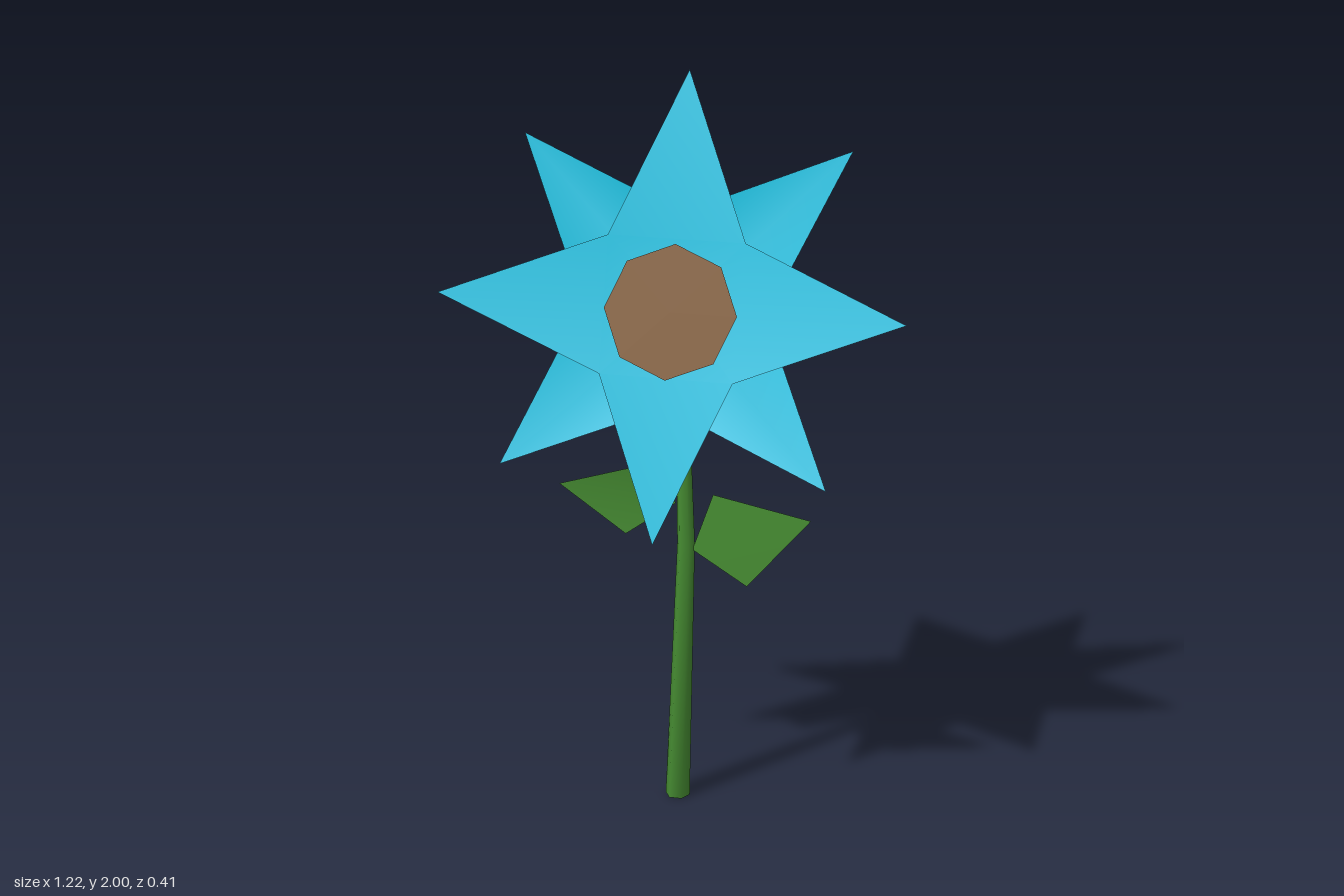
import * as THREE from 'three';

const V = (x, y, z) => new THREE.Vector3(x, y, z);
const paint = (color) => new THREE.MeshStandardMaterial({ color, side: THREE.DoubleSide });
const cyan = paint(0x0fc0e0), brown = paint(0x80592f), green = paint(0x468c32);

// Mesh from a list of points and triangle indices
function surface(name, points, index, material) {
  const geo = new THREE.BufferGeometry().setFromPoints(points);
  geo.setIndex(index);
  geo.computeVertexNormals();
  const mesh = new THREE.Mesh(geo, material);
  mesh.name = name;
  return mesh;
}

// Star: an anticlockwise rim of alternating tips and notches around a sunken centre.
// "folded" petals bend at their root line; otherwise triangles fan from the centre.
function star(name, rim, centre, folded) {
  const n = rim.length, index = [];
  for (let i = 0; i < n; i += 2) {
    const before = (i + n - 1) % n, after = i + 1;
    if (folded) index.push(before, i, after, n, before, after);
    else index.push(n, before, i, n, i, after);
  }
  return surface(name, [...rim, centre], index, cyan);
}

// Tapered stem lofted through hexagonal rings
function stem() {
  const rings = [[0, 0, -0.083, 0.034], [0.022, 0.75, -0.083, 0.024], [0.01, 1.375, -0.077, 0.013]];
  const sides = 6, points = [], index = [];
  for (const [x, y, z, r] of rings)
    for (let i = 0; i < sides; i++) {
      const a = (i / sides) * Math.PI * 2;
      points.push(V(x + r * Math.cos(a), y, z - r * Math.sin(a)));
    }
  for (let k = 0; k < rings.length - 1; k++)
    for (let i = 0; i < sides; i++) {
      const a = k * sides + i, b = k * sides + (i + 1) % sides;
      index.push(a, b, b + sides, a, b + sides, a + sides);
    }
  // End caps
  const top = (rings.length - 1) * sides;
  for (let i = 1; i < sides - 1; i++) index.push(0, i + 1, i, top, top + i, top + i + 1);
  return surface('stem', points, index, green);
}

export function createModel() {
  const flower = new THREE.Group();
  flower.name = 'flower';

  // Front petals: side tips curl forward
  flower.add(star('frontPetals', [
    V(0.61, 1.44, 0.037), V(0.18, 1.595, -0.062), V(0, 2, -0.208), V(-0.18, 1.595, -0.062),
    V(-0.61, 1.44, 0.037), V(-0.175, 1.26, 0.06), V(0, 0.86, 0.205), V(0.175, 1.26, 0.06),
  ], V(0, 1.42, -0.065), true));

  // Back petals: diagonal tips around a centre drawn back to the stem
  flower.add(star('backPetals', [
    V(0.43, 1.82, -0.177), V(0, 1.65, -0.116), V(-0.43, 1.82, -0.177), V(-0.24, 1.415, -0.03),
    V(-0.43, 1.01, 0.114), V(0, 1.18, 0.055), V(0.43, 1.01, 0.114), V(0.24, 1.415, -0.03),
  ], V(0, 1.39, -0.092), false));

  // Seed disc, tilted with the bloom
  const disc = new THREE.Mesh(new THREE.CircleGeometry(0.174, 8), brown);
  disc.name = 'seedDisc';
  disc.position.set(0, 1.421, 0.008);
  disc.rotation.x = -Math.atan(0.36);
  flower.add(disc);

  flower.add(stem());

  // Leaves: one quad each, rooted at the stem
  const quad = [0, 1, 2, 0, 2, 3];
  flower.add(surface('leftLeaf', [
    V(0.38, 0.895, 0.038), V(0.1, 0.905, -0.06), V(0.04, 0.735, -0.08), V(0.2, 0.667, -0.025),
  ], quad, green));
  flower.add(surface('rightLeaf', [
    V(-0.305, 0.92, -0.01), V(-0.13, 0.785, -0.03), V(-0.005, 0.865, -0.08), V(-0.085, 0.975, -0.055),
  ], quad, green));

  return flower;
}
